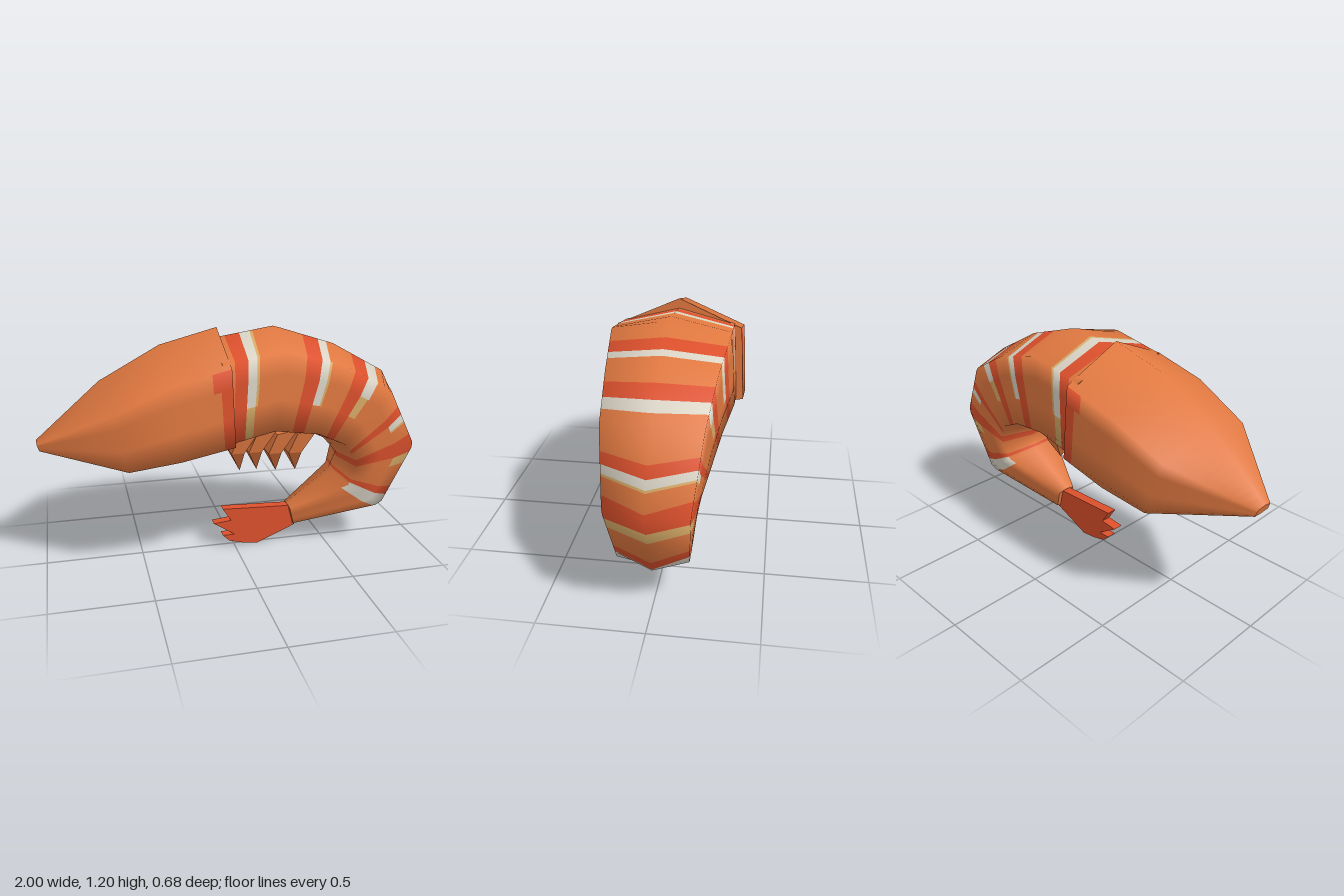
import * as THREE from 'three';
import { ConvexGeometry } from 'three/addons/geometries/ConvexGeometry.js';

const mat = (name, color, side = THREE.FrontSide) => {
  const m = new THREE.MeshStandardMaterial({ color, side });
  m.name = name;
  return m;
};

// Half ring of a section: fraction from back ridge to belly, and share of the half width
const RATIO = [0, 0.94, 0.96, 0.98, 1, 0];
const SEGS = 5, RING = 10;
const halfIndex = j => (j <= SEGS ? j : RING - j);

// Section points from [topX, topY, bottomX, bottomY, halfWidth]
function ringPoints([tx, ty, bx, by, w], fractions) {
  return Array.from({ length: RING }, (_, j) => {
    const i = halfIndex(j), f = fractions[i];
    return new THREE.Vector3(tx + (bx - tx) * f, ty + (by - ty) * f, w * RATIO[i] * (j <= SEGS ? 1 : -1));
  });
}

function gridIndex(rows, visit) {
  for (let r = 0; r < rows - 1; r++) {
    for (let j = 0; j < RING; j++) {
      const k = (j + 1) % RING;
      const a = r * RING + j, b = r * RING + k, c = a + RING, d = b + RING;
      visit([a, b, c, b, d, c], r, j);
    }
  }
}

const geometryOf = points => new THREE.BufferGeometry().setFromPoints(points);

// Loft through sections; stripes are [start, end, firstSegment, lastSegment, materialIndex]
function loft(name, stations, fractions, skew, stripes, materials) {
  const group = new THREE.Group();
  group.name = name;
  const last = stations.length - 1;
  const control = stations.map(s => ringPoints(s, fractions));

  // Smooth normals of the coarse sections
  const coarse = geometryOf(control.flat());
  const coarseIndex = [];
  gridIndex(stations.length, quad => coarseIndex.push(...quad));
  coarse.setIndex(coarseIndex);
  coarse.computeVertexNormals();
  const normalAt = (r, j) => new THREE.Vector3().fromBufferAttribute(coarse.attributes.normal, r * RING + j);

  // Fine rows, cut exactly at the stripe edges
  const cuts = new Set(stripes.flatMap(s => [s[0], s[1]]));
  for (let i = 0; i <= last * 10; i++) cuts.add(i / 10);
  const rows = [...cuts].sort((a, b) => a - b);
  const points = [], normals = [];
  for (const s of rows) {
    for (let j = 0; j < RING; j++) {
      const fade = Math.min(1, s, last - s);
      const t = THREE.MathUtils.clamp(s + skew[halfIndex(j)] * fade, 0, last);
      const r = Math.min(Math.floor(t), last - 1);
      points.push(control[r][j].clone().lerp(control[r + 1][j], t - r));
      normals.push(...normalAt(r, j).lerp(normalAt(r + 1, j), t - r).normalize().toArray());
    }
  }

  // One geometry group for each colour
  const lists = materials.map(() => []);
  gridIndex(rows.length, (quad, r, j) => {
    const mid = (rows[r] + rows[r + 1]) / 2;
    const seg = j < SEGS ? j : RING - 1 - j;
    const stripe = stripes.find(s => mid > s[0] && mid < s[1] && seg >= s[2] && seg <= s[3]);
    lists[stripe ? stripe[4] : 0].push(...quad);
  });
  const geo = geometryOf(points);
  geo.setAttribute('normal', new THREE.Float32BufferAttribute(normals, 3));
  geo.setIndex(lists.flat());
  let start = 0;
  lists.forEach((list, i) => {
    if (list.length) geo.addGroup(start, list.length, i);
    start += list.length;
  });
  const shell = new THREE.Mesh(geo, materials);
  shell.name = name + 'Shell';
  group.add(shell);

  // Flat end caps
  [0, last].forEach(r => {
    const ring = control[r], tris = [];
    const centre = ring[0].clone().lerp(ring[SEGS], 0.5);
    for (let j = 0; j < RING; j++) {
      const a = ring[j], b = ring[(j + 1) % RING];
      tris.push(centre, ...(r ? [a, b] : [b, a]));
    }
    const capGeo = geometryOf(tris);
    capGeo.computeVertexNormals();
    const cap = new THREE.Mesh(capGeo, materials[0]);
    cap.name = name + (r ? 'RearCap' : 'FrontCap');
    group.add(cap);
  });
  return group;
}

export function createModel() {
  const model = new THREE.Group();
  model.name = 'shrimp';
  const orange = mat('shell orange', 0xe07840);
  const red = mat('stripe red', 0xdc502c);
  const cream = mat('stripe cream', 0xdad4c6);
  const tan = mat('stripe tan', 0xd8ac68);
  const materials = [orange, red, cream, tan];

  // Head shell with a red patch on each side of the rear rim
  model.add(loft('head', [
    [-1.0, 0.68, -0.985, 0.632, 0.05],
    [-0.68, 0.96, -0.565, 0.54, 0.31],
    [-0.377, 1.125, -0.325, 0.565, 0.338],
    [-0.088, 1.2, -0.065, 0.615, 0.338],
  ], [0, 0.24, 0.4, 0.65, 0.89, 1], [0, 0, 0, 0, 0, 0],
  [[2.67, 2.8, 1, 1, 1], [2.8, 3, 1, 3, 1]], materials));

  // Curled abdomen: red bands, each trailed by a cream and tan band
  const stripes = [
    [0.2, 0.41, 0, 4, 1], [0.41, 0.56, 0, 2, 2], [0.41, 0.56, 3, 3, 3], [0.56, 0.6, 0, 2, 3],
    [1.38, 1.64, 0, 4, 1], [1.64, 1.78, 0, 2, 2], [1.78, 1.82, 1, 2, 3],
    [2.26, 2.54, 0, 4, 1], [2.54, 2.75, 0, 1, 2], [2.54, 2.72, 2, 2, 3],
    [3.34, 3.49, 0, 3, 1], [3.49, 3.6, 0, 1, 2], [3.6, 3.63, 0, 1, 3],
    [3.85, 4.17, 0, 4, 1], [4.17, 4.35, 0, 1, 3],
    [4.74, 4.88, 0, 4, 1], [4.88, 5.12, 0, 3, 2],
    [5.78, 6, 0, 0, 1],
  ];
  model.add(loft('abdomen', [
    [-0.12, 1.145, -0.12, 0.625, 0.3],
    [0.206, 1.195, 0.13, 0.685, 0.306],
    [0.53, 1.09, 0.36, 0.645, 0.268],
    [0.815, 0.93, 0.5, 0.575, 0.238],
    [0.995, 0.578, 0.58, 0.48, 0.2],
    [0.815, 0.2, 0.56, 0.377, 0.175],
    [0.33, 0.09, 0.3, 0.21, 0.053],
  ], [0, 0.14, 0.35, 0.6, 0.9, 1], [0.1, -0.05, 0, 0, 0, 0], stripes, materials));

  // Tail fan with notched tip
  const outline = [
    [0.34, 0.09], [0.31, 0.205], [0.06, 0.215], [-0.065, 0.22], [-0.02, 0.15], [-0.115, 0.14],
    [0, 0.065], [-0.065, 0.065], [-0.03, 0.03], [0.045, 0.01], [0.13, 0],
  ];
  const fanGeo = new THREE.ExtrudeGeometry(
    new THREE.Shape(outline.map(p => new THREE.Vector2(...p))), { depth: 0.054, bevelEnabled: false });
  fanGeo.translate(0, 0, -0.027);
  const fan = new THREE.Mesh(fanGeo, red);
  fan.name = 'tailFan';
  model.add(fan);

  // Four swimming legs, each a slanted root with a pointed blade
  const across = (pts, z) => pts.flatMap(([x, y]) => [new THREE.Vector3(x, y, z), new THREE.Vector3(x, y, -z)]);
  const middle = [[-0.03, 0.55], [0.04, 0.55]];
  const root = new ConvexGeometry([...across([[0.01, 0.66], [0.12, 0.68]], 0.1), ...across(middle, 0.08)]);
  const blade = new ConvexGeometry([...across(middle, 0.08), new THREE.Vector3(0.033, 0.425, 0)]);
  [[0, 0], [0.093, 0], [0.2, -0.015], [0.31, -0.02]].forEach(([x, y], i) => {
    const leg = new THREE.Group();
    leg.name = 'swimmingLeg' + (i + 1);
    [[root, 'legRoot'], [blade, 'legBlade']].forEach(([g, n]) => {
      const mesh = new THREE.Mesh(g, orange);
      mesh.name = n;
      leg.add(mesh);
    });
    leg.position.set(x, y, 0);
    model.add(leg);
  });
  return model;
}
